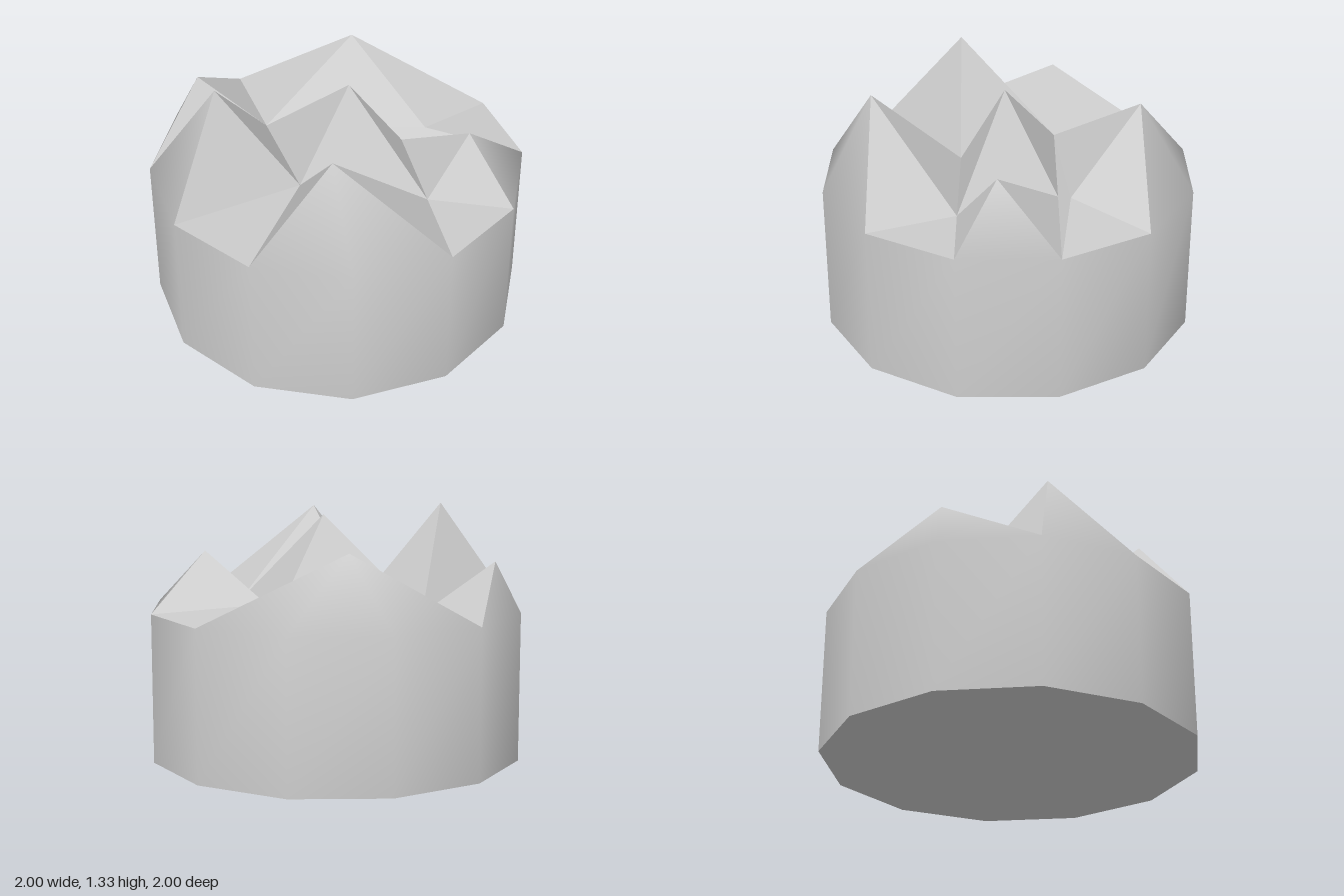
import * as THREE from 'three';

const H = 0.795; // height of the rim

// Rim corners r0..r11, counted from +x towards +z
const pts = {};
for (let i = 0; i < 12; i++) {
  const a = (i * Math.PI) / 6;
  pts['r' + i] = [Math.cos(a), H, Math.sin(a)];
}
// Valley floor points
Object.assign(pts, {
  v1: [-0.08, H, 0.287], v2: [0.57, H, 0.115], v3: [-0.5, H, -0.134],
  v4: [0.23, H, -0.33], v5: [0.33, 0.85, -0.42],
});
// Peaks
Object.assign(pts, {
  a: [0.287, 1.28, 0.655], b: [-0.5, 1.33, 0.402], c: [0.065, 1.29, 0],
  d: [0.69, 1.093, -0.13], e: [-0.23, 1.163, -0.665], f: [-0.866, 1.068, -0.036],
});

// Each peak with the ring of points around its foot
const peaks = [
  ['a', ['v1', 'r3', 'r2', 'r1', 'v2']],
  ['b', ['v3', 'r5', 'r4', 'v1']],
  ['c', ['v3', 'v1', 'v2', 'v4']],
  ['d', ['v4', 'v2', 'r0', 'r11']],
  ['e', ['r7', 'v3', 'v5', 'r10', 'r9', 'r8']],
  ['f', ['r7', 'r6', 'r5', 'v3']],
];
// Flat ledges and low slopes between the peaks
const ledges = [
  ['r3', 'v1', 'r4'], ['r0', 'r1', 'v2'], ['r10', 'r11', 'v5'],
  ['v3', 'v4', 'v5'], ['v4', 'r11', 'v5'],
];

// Wind a triangle so that it faces up
function upward([p, q, r]) {
  const [A, B, C] = [pts[p], pts[q], pts[r]];
  const ny = (B[2] - A[2]) * (C[0] - A[0]) - (B[0] - A[0]) * (C[2] - A[2]);
  return ny > 0 ? [p, q, r] : [p, r, q];
}

// Indexed geometry from named triangles
function build(tris) {
  const names = [...new Set(tris.flat())];
  const g = new THREE.BufferGeometry();
  g.setAttribute('position', new THREE.Float32BufferAttribute(names.flatMap((n) => pts[n]), 3));
  g.setIndex(tris.flat().map((n) => names.indexOf(n)));
  return g;
}

export function createModel() {
  const group = new THREE.Group();
  group.name = 'mountainBlock';
  const add = (geometry, name, flatShading) => {
    geometry.computeVertexNormals();
    const mesh = new THREE.Mesh(geometry, new THREE.MeshStandardMaterial({ color: 0xcccccc, flatShading }));
    mesh.name = name;
    group.add(mesh);
  };

  const outer = [], inner = ledges.map(upward);
  // Slopes standing on the rim belong to the smooth shell, the rest are faceted
  for (const [top, ring] of peaks) {
    ring.forEach((p, i) => {
      const q = ring[(i + 1) % ring.length];
      const onRim = p[0] === 'r' && q[0] === 'r';
      (onRim ? outer : inner).push(upward([top, p, q]));
    });
  }

  // Wall below the rim
  for (let i = 0; i < 12; i++) {
    const [x, , z] = pts['r' + i];
    pts['g' + i] = [x, 0, z];
  }
  const base = [];
  for (let i = 0; i < 12; i++) {
    const j = (i + 1) % 12;
    outer.push(['r' + i, 'r' + j, 'g' + j], ['r' + i, 'g' + j, 'g' + i]);
    if (i > 0 && i < 11) base.push(['g0', 'g' + i, 'g' + j]);
  }

  add(build(outer), 'outerShell', false);
  add(build(inner).toNonIndexed(), 'mountainFaces', true);
  add(build(base), 'base', true);
  return group;
}
